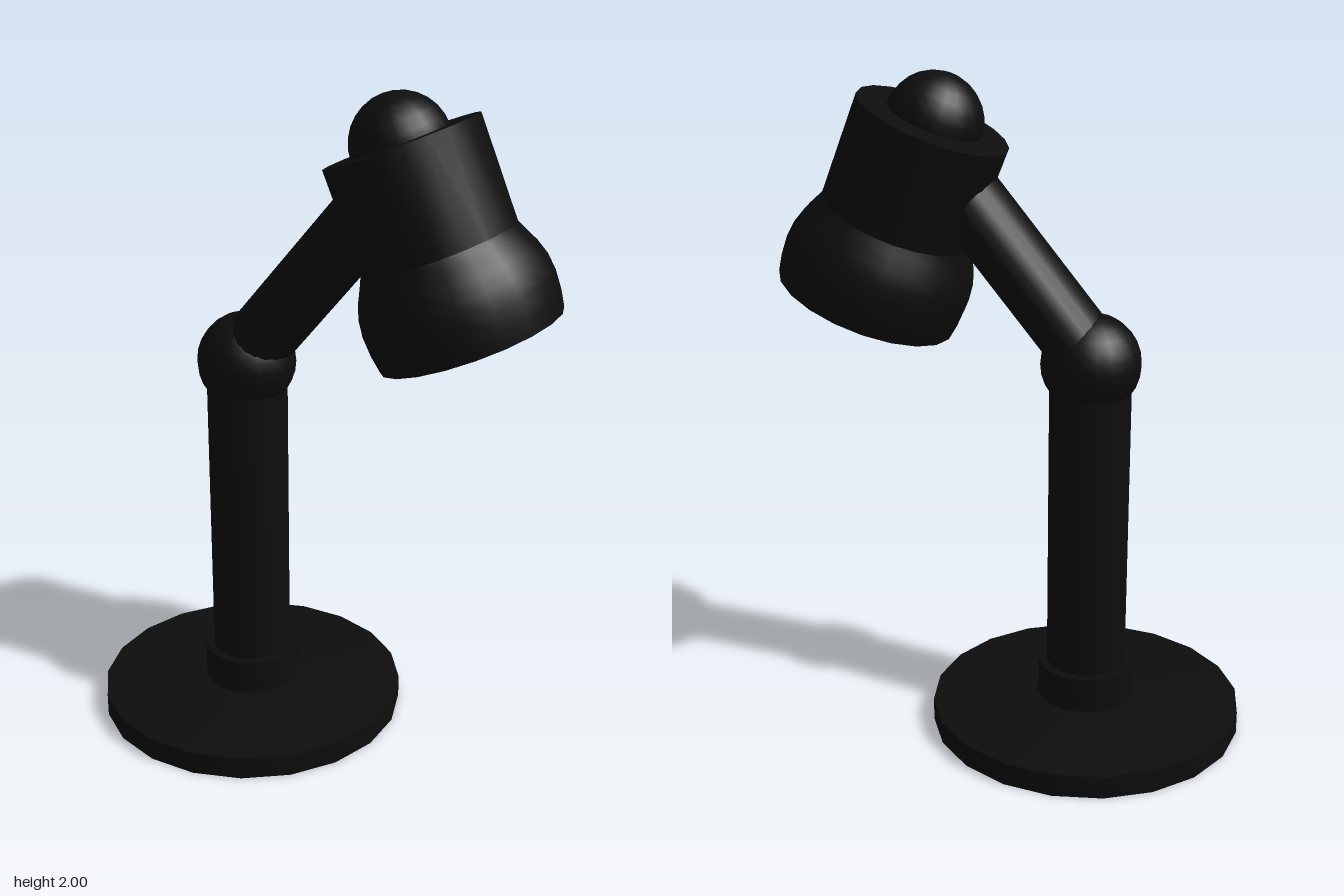
import * as THREE from 'three';
import { toCreasedNormals } from 'three/addons/utils/BufferGeometryUtils.js';

const material = new THREE.MeshStandardMaterial({ color: 0x0d0d0d });
const SIDES = 20;

function add(parent, name, geometry, x = 0, y = 0, z = 0) {
  const mesh = new THREE.Mesh(geometry, material);
  mesh.name = name;
  mesh.position.set(x, y, z);
  parent.add(mesh);
  return mesh;
}

// Turned part from [radius, height] pairs, listed bottom to top along the outside
function turned(profile) {
  const points = profile.map(([r, y]) => new THREE.Vector2(r, y));
  return toCreasedNormals(new THREE.LatheGeometry(points, SIDES), 0.6);
}

const ball = (r) => new THREE.SphereGeometry(r, SIDES, 14);

export function createModel() {
  const lamp = new THREE.Group();
  lamp.name = 'deskLamp';
  const standX = -0.235;

  // Stand: shallow domed foot, collar, post and ball joint
  add(lamp, 'base', turned([[0, 0], [0.48, 0], [0.48, 0.07], [0.15, 0.09], [0, 0.09]]), standX);
  add(lamp, 'collar', turned([[0.15, 0.08], [0.15, 0.2], [0, 0.2]]), standX);
  add(lamp, 'post', turned([[0.123, 0.18], [0.123, 1.17]]), standX);
  add(lamp, 'elbowJoint', ball(0.15), standX, 1.168);

  // Leaning arm, slightly oval in section
  const armGeometry = new THREE.CylinderGeometry(1, 1, 0.6, SIDES);
  armGeometry.scale(0.102, 1, 0.122);
  armGeometry.translate(0, 0.3, 0);
  const arm = add(lamp, 'arm', armGeometry, -0.243, 1.175);
  arm.rotation.z = -Math.atan2(0.632, 0.775);

  // Head: its local origin is the centre of the flat top, -y points out of the shade
  const head = new THREE.Group();
  head.name = 'head';
  head.position.set(0.233, 1.86, -0.012);
  head.rotation.z = THREE.MathUtils.degToRad(22.2);
  lamp.add(head);

  const housing = add(head, 'housing', turned([[0.232, -0.34], [0.232, 0], [0, 0]]));
  housing.rotation.x = -0.03;

  // Bell shade: inner wall first, round the rim, then the outside
  add(head, 'shade', turned([
    [0, -0.33], [0.2, -0.33], [0.24, -0.4], [0.262, -0.48], [0.255, -0.588],
    [0.276, -0.59], [0.284, -0.54], [0.287, -0.48], [0.281, -0.43],
    [0.266, -0.385], [0.246, -0.345], [0.23, -0.31],
  ]), 0, 0, 0.012);

  add(head, 'topKnob', ball(0.145), 0, -0.005, 0.012);
  add(head, 'bulb', ball(0.16), 0, -0.45, 0.012);

  return lamp;
}
